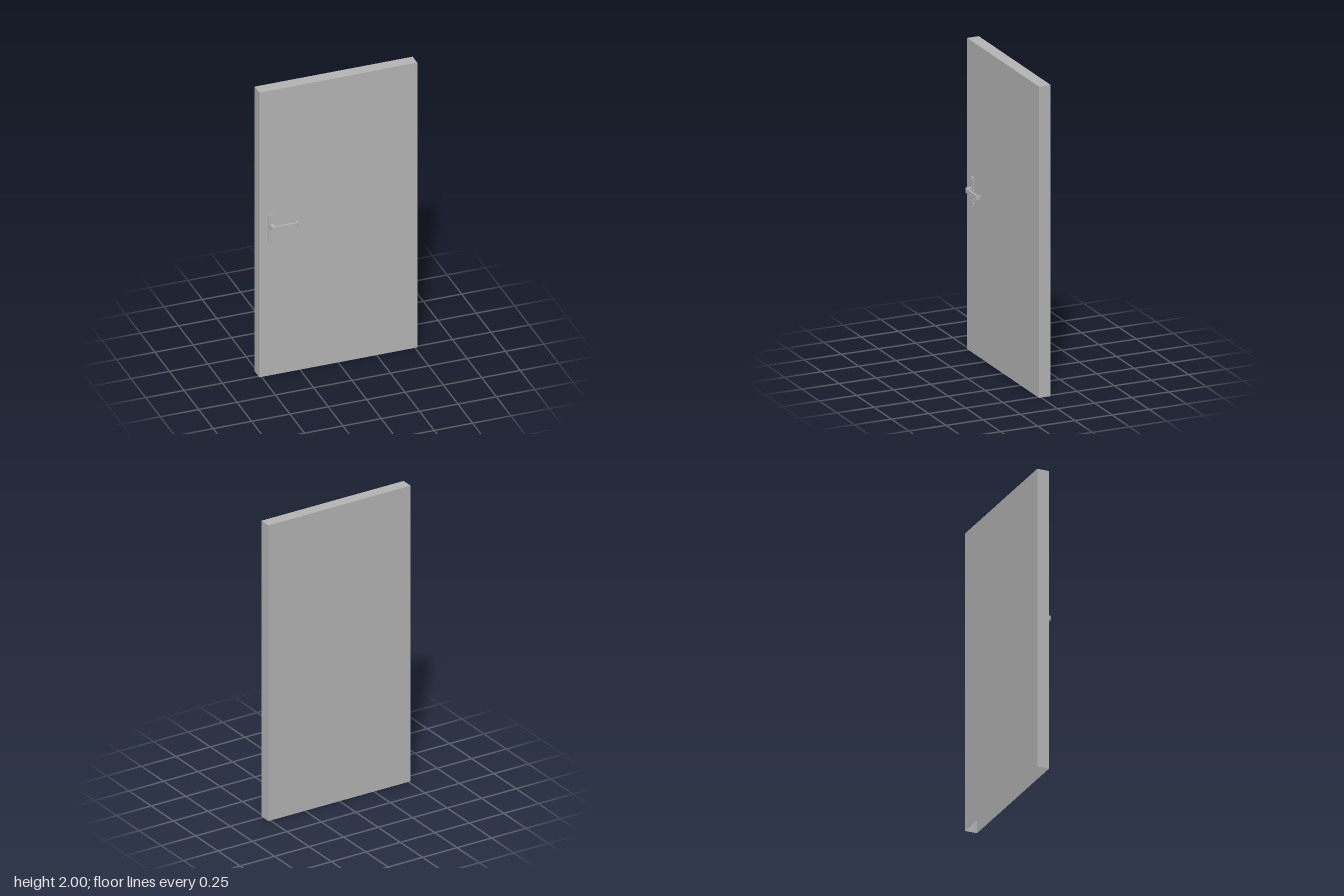
import * as THREE from 'three';

const DOOR = { w: 1.03, h: 2, back: -0.065, front: 0.014 };

export function createModel() {
  const model = new THREE.Group();
  model.name = 'door';
  const grey = new THREE.MeshStandardMaterial({ color: 0xb3b3b3, side: THREE.DoubleSide });
  grey.name = 'plain grey';

  const add = (name, geometry) => {
    const mesh = new THREE.Mesh(geometry, grey);
    mesh.name = name;
    model.add(mesh);
    return mesh;
  };

  // Hollow door leaf: the underside is left open
  const depth = DOOR.front - DOOR.back;
  const midZ = (DOOR.front + DOOR.back) / 2;
  const panel = (name, w, h, position, rotation) => {
    const mesh = add(name, new THREE.PlaneGeometry(w, h));
    mesh.position.set(...position);
    mesh.rotation.set(...rotation);
  };
  panel('frontPanel', DOOR.w, DOOR.h, [0, DOOR.h / 2, DOOR.front], [0, 0, 0]);
  panel('backPanel', DOOR.w, DOOR.h, [0, DOOR.h / 2, DOOR.back], [0, Math.PI, 0]);
  panel('topEdge', DOOR.w, depth, [0, DOOR.h, midZ], [-Math.PI / 2, 0, 0]);
  for (const [name, s] of [['leftEdge', 1], ['rightEdge', -1]]) {
    panel(name, depth, DOOR.h, [s * DOOR.w / 2, DOOR.h / 2, midZ], [0, s * Math.PI / 2, 0]);
  }

  // Backplate with rounded corners
  const w = 0.022, h = 0.1, r = 0.012;
  const plate = new THREE.Shape();
  plate.absarc(w - r, h - r, r, 0, Math.PI / 2);
  plate.absarc(-w + r, h - r, r, Math.PI / 2, Math.PI);
  plate.absarc(-w + r, -h + r, r, Math.PI, Math.PI * 1.5);
  plate.absarc(w - r, -h + r, r, Math.PI * 1.5, Math.PI * 2);
  plate.closePath();
  const plateMesh = add('handlePlate',
    new THREE.ExtrudeGeometry(plate, { depth: 0.008, bevelEnabled: false, curveSegments: 6 }));
  plateMesh.position.set(-0.436, 1.034, DOOR.front);

  // Lever: plan outline (x, z) with neck, bar and returned tip, extruded in height
  const lever = new THREE.Shape();
  lever.moveTo(-0.45, 0.02);
  lever.lineTo(-0.424, 0.02);
  lever.lineTo(-0.424, 0.036);
  lever.quadraticCurveTo(-0.424, 0.052, -0.408, 0.052);
  lever.lineTo(-0.297, 0.052);
  lever.quadraticCurveTo(-0.287, 0.05, -0.285, 0.033);
  lever.lineTo(-0.278, 0.033);
  lever.lineTo(-0.278, 0.051);
  lever.quadraticCurveTo(-0.278, 0.063, -0.291, 0.063);
  lever.lineTo(-0.43, 0.063);
  lever.quadraticCurveTo(-0.45, 0.063, -0.45, 0.044);
  lever.closePath();
  const leverGeometry = new THREE.ExtrudeGeometry(lever,
    { depth: 0.027, bevelEnabled: false, curveSegments: 8 });
  leverGeometry.rotateX(Math.PI / 2);
  add('handleLever', leverGeometry).position.y = 1.064;

  return model;
}
